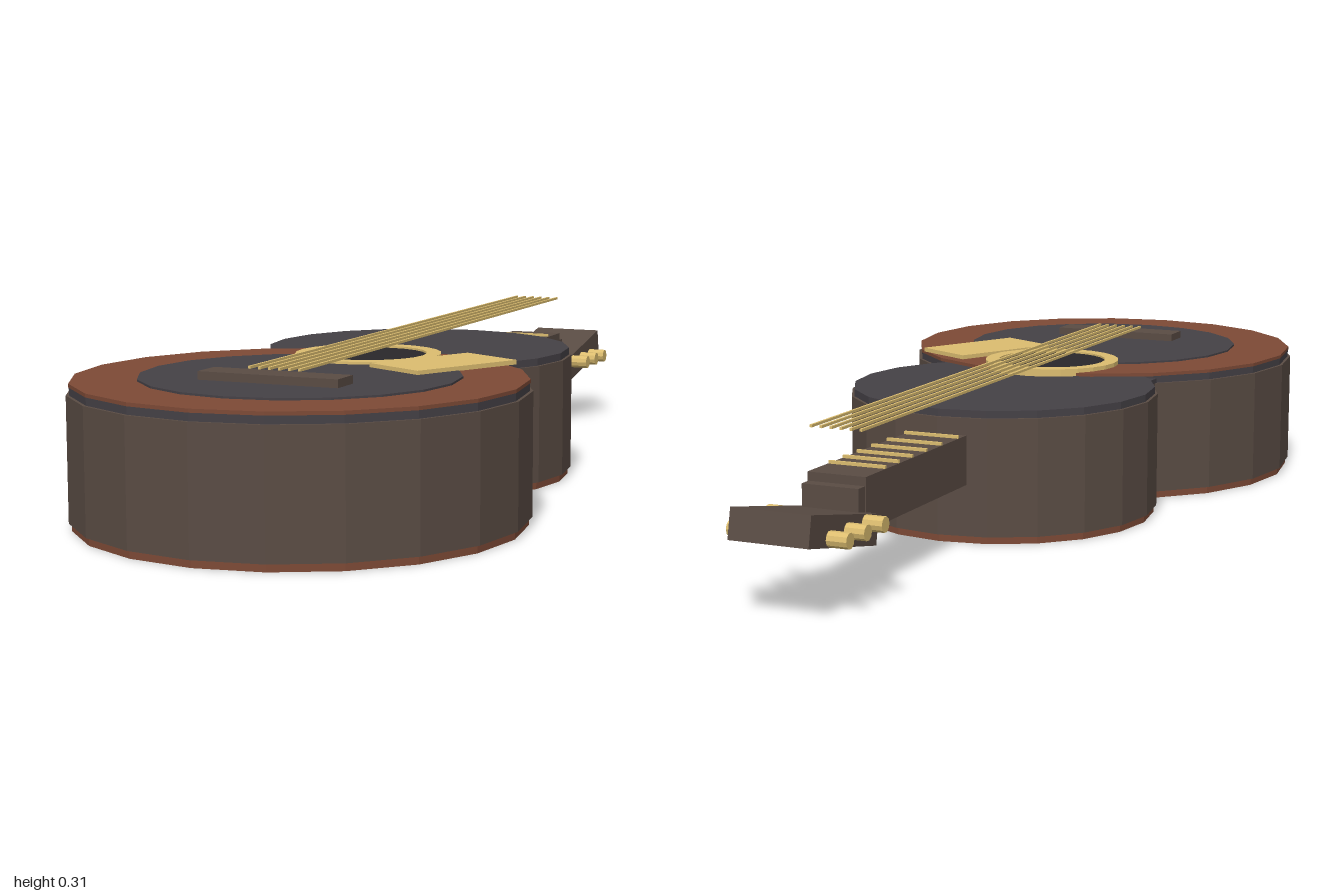
import * as THREE from 'three';

const mat = (color) => new THREE.MeshStandardMaterial({ color, flatShading: true });

export function createModel() {
  const guitar = new THREE.Group();
  guitar.name = 'guitar';
  const wood = mat(0x5a4c44), brown = mat(0x7d4a36), dark = mat(0x454146);
  const black = mat(0x2a282b), gold = mat(0xdcbd70);

  const add = (name, geometry, material, x, y, z, parent = guitar) => {
    const mesh = new THREE.Mesh(geometry, material);
    mesh.name = name;
    mesh.position.set(x, y, z);
    parent.add(mesh);
    return mesh;
  };
  const box = (name, material, w, y0, y1, z0, z1, x = 0) =>
    add(name, new THREE.BoxGeometry(w, y1 - y0, z1 - z0), material, x, (y0 + y1) / 2, (z0 + z1) / 2);
  const disc = (name, material, r, y0, y1, z, sides = 20) =>
    add(name, new THREE.CylinderGeometry(r, r, y1 - y0, sides), material, 0, (y0 + y1) / 2, z);

  // Body: two round bouts, each with a back plate, sides and a soundboard
  const bouts = [['lower', 0.438, 0.56], ['upper', 0.325, -0.01]];
  for (const [part, r, z] of bouts) {
    disc(part + 'BoutBack', brown, r - 0.006, 0, 0.015, z);
    disc(part + 'BoutSides', wood, r, 0.015, 0.255, z);
    disc(part + 'BoutTop', dark, r - 0.006, 0.255, 0.27, z);
  }
  box('waist', wood, 0.52, 0.015, 0.255, 0.1, 0.3);
  box('waistTop', dark, 0.52, 0.255, 0.265, 0.1, 0.3);

  // Layered face of the lower bout
  disc('lowerFace', brown, 0.433, 0.27, 0.277, 0.56);
  disc('innerFace', dark, 0.307, 0.277, 0.281, 0.56);

  // Sound hole with its flat ring
  disc('soundHole', black, 0.12, 0.268, 0.282, 0.25, 24);
  const ringProfile = [[0.118, 0.27], [0.148, 0.27], [0.148, 0.286], [0.118, 0.286], [0.118, 0.27]]
    .map(([x, y]) => new THREE.Vector2(x, y));
  add('soundHoleRing', new THREE.LatheGeometry(ringProfile, 24), gold, 0, 0, 0.25);

  // Pickguard set at an angle beside the sound hole
  const guard = add('pickguard', new THREE.BoxGeometry(0.145, 0.009, 0.25), gold, 0.2, 0.2845, 0.339);
  guard.rotation.y = -0.48;

  box('bridge', wood, 0.286, 0.277, 0.297, 0.635, 0.7);

  // Neck, fretboard and frets
  box('neck', wood, 0.116, 0.12, 0.203, -0.775, -0.3);
  box('fretboard', wood, 0.12, 0.12, 0.22, -0.75, -0.3);
  for (const z of [-0.36, -0.435, -0.5, -0.56, -0.615, -0.67])
    box('fret', gold, 0.118, 0.218, 0.226, z - 0.003, z + 0.003);

  // Tilted headstock with three pegs on each side
  const head = add('headstock', new THREE.BoxGeometry(0.16, 0.058, 0.251), wood, 0, 0.149, -0.868);
  head.rotation.x = 0.2;
  for (const z of [-0.79, -0.857, -0.922])
    for (const side of [-1, 1]) {
      const peg = add('tuningPeg', new THREE.CylinderGeometry(0.015, 0.015, 0.05, 10), gold, side * 0.095, 0.147, z);
      peg.rotation.z = Math.PI / 2;
    }

  // Six strings
  for (let i = 0; i < 6; i++)
    box('string', gold, 0.005, 0.3025, 0.3075, -0.75, 0.67, (i - 2.5) * 0.0205);

  return guitar;
}
